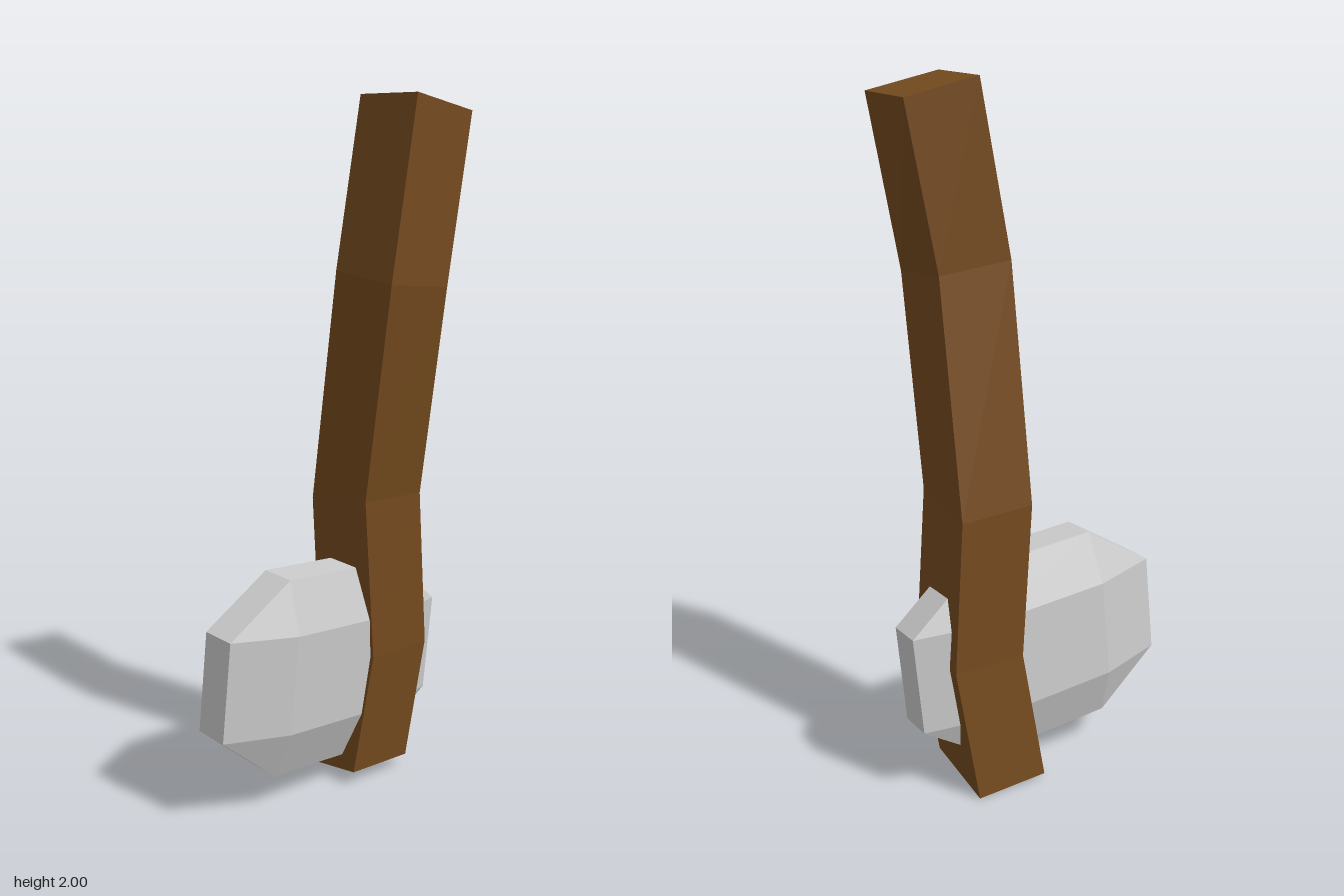
import * as THREE from 'three';
import { ConvexGeometry } from 'three/addons/geometries/ConvexGeometry.js';

const material = (color) => new THREE.MeshStandardMaterial({ color, flatShading: true });

// Crooked square shaft: a segmented box whose rings are moved onto stations
function createHandle() {
  // centre x, y, z, width, depth, rise left-to-right, rise back-to-front
  const stations = [
    [0.15, 0.0225, -0.057, 0.218, 0.245, -0.01, 0.035],
    [0.203, 0.4, -0.028, 0.217, 0.237, 0, 0],
    [0.165, 0.86, -0.018, 0.22, 0.225, -0.01, 0.03],
    [0.174, 1.5, 0.07, 0.218, 0.22, -0.02, -0.025],
    [0.263, 1.978, 0.07, 0.215, 0.22, -0.044, 0],
  ];
  const geometry = new THREE.BoxGeometry(1, 1, 1, 1, stations.length - 1, 1);
  const p = geometry.attributes.position;
  for (let i = 0; i < p.count; i++) {
    const u = p.getX(i), w = p.getZ(i);
    const row = Math.round((p.getY(i) + 0.5) * (stations.length - 1));
    const [x, y, z, width, depth, riseX, riseZ] = stations[row];
    p.setXYZ(i, x + u * width, y + u * riseX + w * riseZ, z + w * depth);
  }
  geometry.computeVertexNormals();
  const handle = new THREE.Mesh(geometry, material(0x744a1e));
  handle.name = 'handle';
  return handle;
}

// Chamfered stone block: octagonal in the middle, narrowing to flat ends
function createStoneHead() {
  const points = [];
  for (const sx of [-1, 1]) for (const sy of [-1, 1]) for (const sz of [-1, 1]) {
    points.push(
      new THREE.Vector3(sx * 0.4, sy * 0.147, sz * 0.053),
      new THREE.Vector3(sx * 0.2, sy * 0.295, sz * 0.053),
      new THREE.Vector3(sx * 0.2, sy * 0.147, sz * 0.108),
    );
  }
  const head = new THREE.Mesh(new ConvexGeometry(points), material(0xcccccc));
  head.name = 'stoneHead';
  head.position.set(0, 0.382, -0.03);
  head.rotation.set(0.05, 0.006, -0.069);
  return head;
}

export function createModel() {
  const group = new THREE.Group();
  group.name = 'stoneHammer';
  group.add(createHandle(), createStoneHead());
  return group;
}
